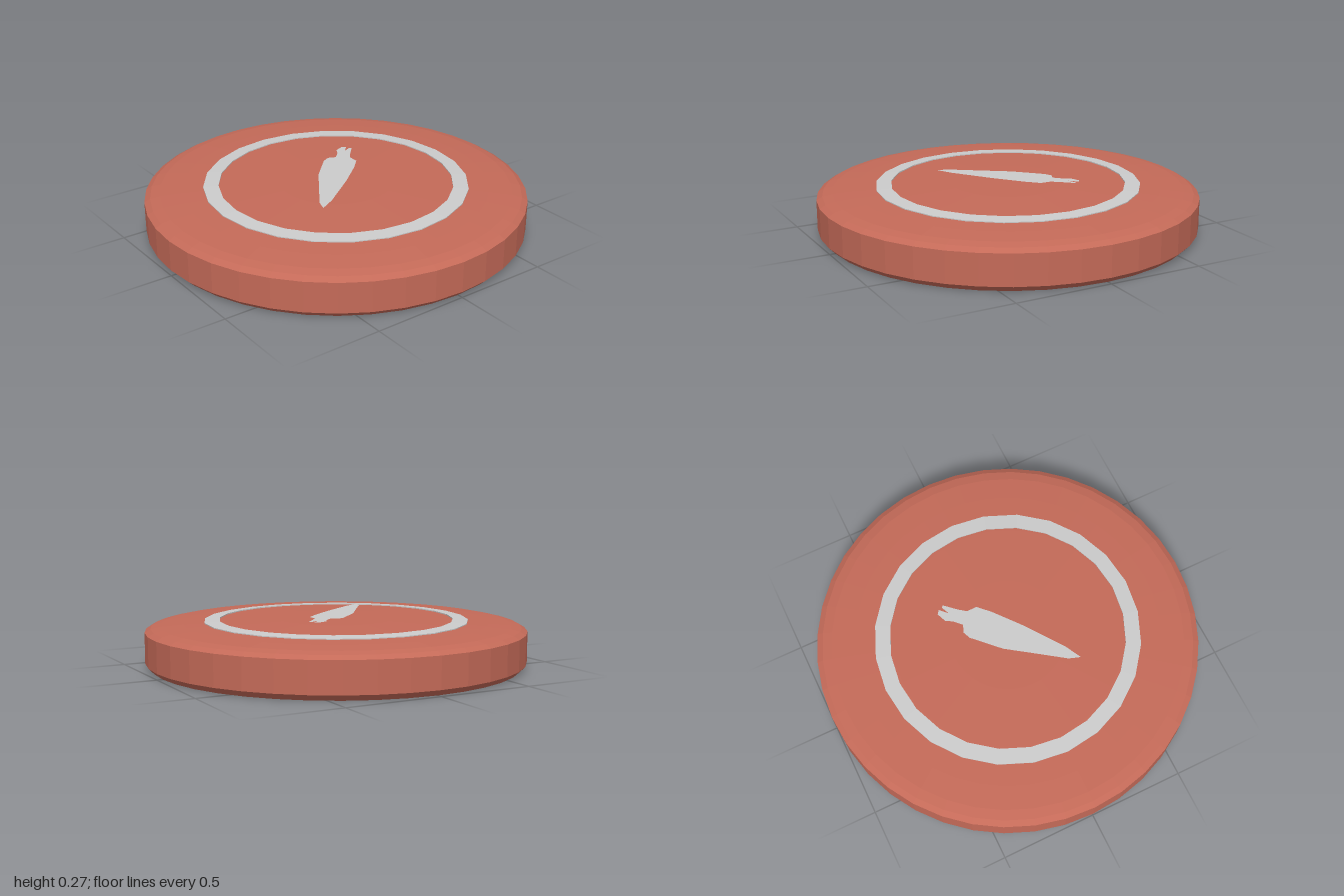
import * as THREE from 'three';

const red = new THREE.MeshStandardMaterial({ color: 0xc46a58, flatShading: true, side: THREE.DoubleSide });
const grey = new THREE.MeshStandardMaterial({ color: 0xcccccc, flatShading: true, side: THREE.DoubleSide });

const toPoints = (list) => list.map(([a, b]) => new THREE.Vector2(a, b));

function addMesh(group, name, geometry, material) {
  const mesh = new THREE.Mesh(geometry, material);
  mesh.name = name;
  group.add(mesh);
  return mesh;
}

export function createModel() {
  const group = new THREE.Group();
  group.name = 'carrotDisc';

  // Thin shell, open underneath: turned-in lower lip, straight wall, domed top
  const shell = toPoints([
    [0.955, 0.005], [0.97, 0.005], [1, 0.03], [1, 0.19], [0.97, 0.208], [0.92, 0.219],
    [0.8, 0.228], [0.6, 0.238], [0.3, 0.244], [0, 0.246],
  ]);
  shell[0].y = shell[1].y = 0;
  addMesh(group, 'discShell', new THREE.LatheGeometry(shell, 40), red);

  // Inlaid ring, standing slightly proud on both faces of the shell
  const ring = toPoints([
    [0.615, 0.222], [0.695, 0.218], [0.695, 0.238], [0.615, 0.243], [0.615, 0.222],
  ]);
  addMesh(group, 'inlaidRing', new THREE.LatheGeometry(ring, 24), grey);

  // Flat carrot silhouette floating just above the top, outline given as x and -z
  const outline = toPoints([
    [-0.285, -0.28], [-0.2, -0.235], [0, -0.09], [0.14, 0.025], [0.2, 0.085],
    [0.2, 0.14], [0.23, 0.18], [0.285, 0.24], [0.275, 0.25], [0.23, 0.23],
    [0.27, 0.27], [0.25, 0.285], [0.2, 0.265], [0.18, 0.23], [0.14, 0.19],
    [0.1, 0.207], [0.06, 0.19], [-0.07, 0.06], [-0.16, -0.07], [-0.265, -0.22],
  ]);
  const carrot = new THREE.ShapeGeometry(new THREE.Shape(outline));
  carrot.rotateX(-Math.PI / 2);
  addMesh(group, 'carrotEmblem', carrot, grey).position.y = 0.27;

  return group;
}
